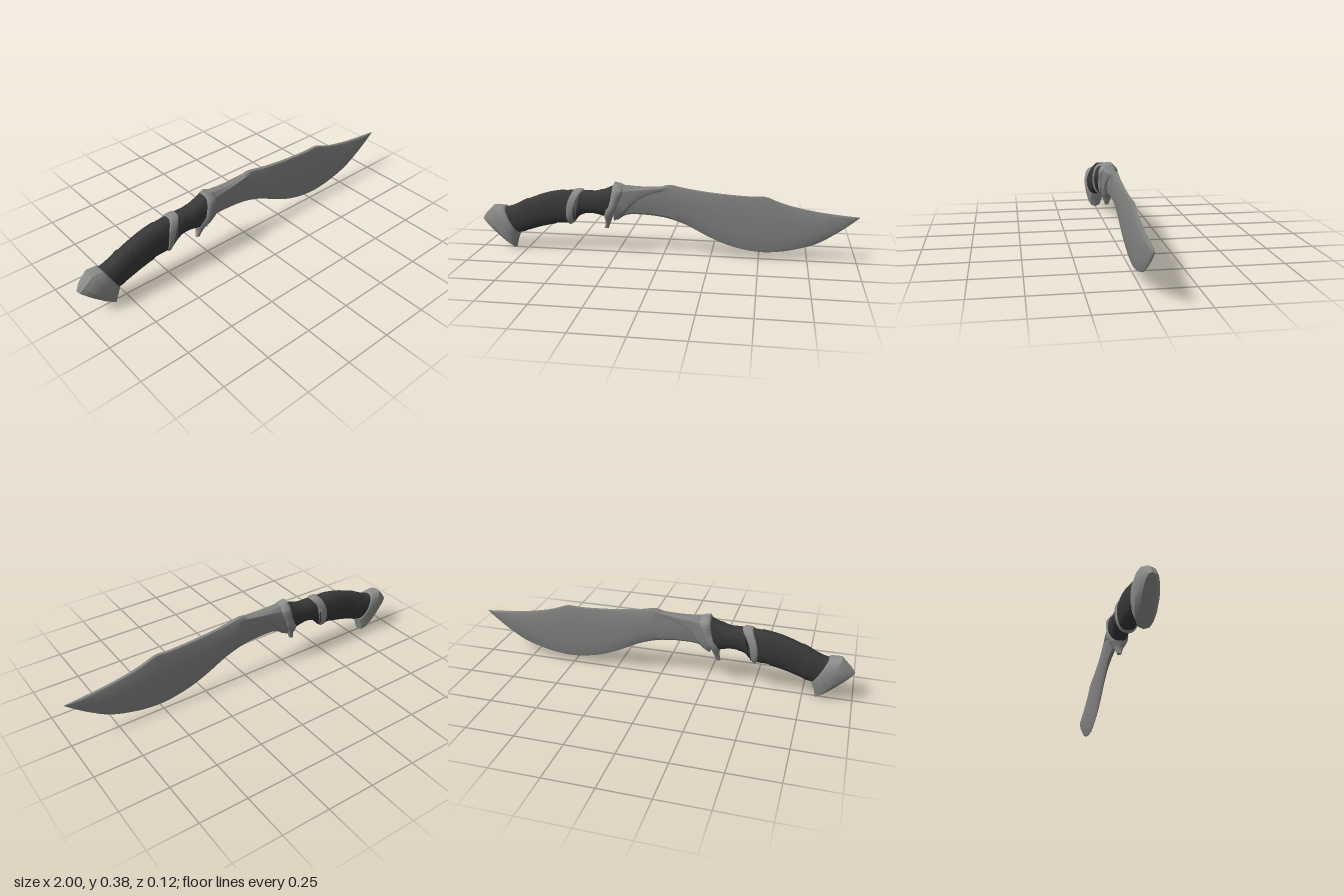
import * as THREE from 'three';
import { toCreasedNormals } from 'three/addons/utils/BufferGeometryUtils.js';

const blade = new THREE.MeshStandardMaterial({ name: 'bladeSteel', color: 0x838382 });
const fitting = new THREE.MeshStandardMaterial({ name: 'fittingSteel', color: 0x8c8c8a });
const leather = new THREE.MeshStandardMaterial({ name: 'darkLeather', color: 0x383838 });

// Rounded section: [height from 1 to -1, side from -1 to 1], running from the top round by +z
function roundSection(n, power = 0.7) {
  return Array.from({ length: n }, (_, i) => {
    const a = (i / n) * Math.PI * 2, s = Math.sin(a);
    return [Math.cos(a), Math.sign(s) * Math.abs(s) ** power];
  });
}

// Mirrors a half section (top to bottom on the +z side)
const mirrorSection = half => [...half, ...half.slice().reverse().map(([u, w]) => [u, -w])];

// Lofts a section through keys [topX, topY, bottomX, bottomY, halfWidth, bow]
function loft(name, material, keys, section, { steps = 4, crease = 0.5, turns = 0, relief = 0 } = {}) {
  const topCurve = new THREE.CatmullRomCurve3(keys.map(k => new THREE.Vector3(k[0], k[1], k[4])));
  const lowCurve = new THREE.CatmullRomCurve3(keys.map(k => new THREE.Vector3(k[2], k[3], k[5] || 0)));
  const rings = (keys.length - 1) * steps, n = section.length;
  const pos = [], index = [];
  for (let i = 0; i <= rings; i++) {
    const t = i / rings, a = topCurve.getPoint(t), b = lowCurve.getPoint(t);
    section.forEach(([u, w], j) => {
      // Overlapping wrap edges follow a spiral around the section
      const phase = turns * t - j / n + 4;
      const f = 1 + relief * ((phase % 1) - 0.5);
      const k = (1 - u * f) / 2;
      pos.push(a.x + (b.x - a.x) * k + b.z * (1 - u * u), a.y + (b.y - a.y) * k, w * a.z * f);
    });
  }
  for (let i = 0; i < rings; i++) {
    for (let j = 0; j < n; j++) {
      const p = i * n + j, q = i * n + (j + 1) % n;
      index.push(p, q, p + n, q, q + n, p + n);
    }
  }
  // End caps
  for (const [ring, flip] of [[0, true], [rings, false]]) {
    const c = pos.length / 3, m = [0, 0, 0];
    for (let j = 0; j < n; j++) for (let d = 0; d < 3; d++) m[d] += pos[(ring * n + j) * 3 + d] / n;
    pos.push(...m);
    for (let j = 0; j < n; j++) {
      const p = ring * n + j, q = ring * n + (j + 1) % n;
      index.push(c, flip ? q : p, flip ? p : q);
    }
  }
  const g = new THREE.BufferGeometry();
  g.setAttribute('position', new THREE.Float32BufferAttribute(pos, 3));
  g.setIndex(index);
  const mesh = new THREE.Mesh(toCreasedNormals(g, crease), material);
  mesh.name = name;
  return mesh;
}

export function createModel() {
  const group = new THREE.Group();
  group.name = 'curvedKnife';

  // Blade: flat spine, broad cheeks and a ground cutting edge
  const bladeSection = mirrorSection([[1, 0.6], [0.85, 0.9], [0.2, 1], [-0.4, 0.8], [-0.88, 0.4], [-1, 0.06]]);
  group.add(loft('blade', blade, [
    [-0.24, 0.365, -0.25, 0.18, 0.024],
    [-0.19, 0.368, -0.2, 0.212, 0.023],
    [-0.1, 0.365, -0.1, 0.217, 0.021],
    [-0.02, 0.369, -0.02, 0.21, 0.019],
    [0.025, 0.381, 0.025, 0.202, 0.018],
    [0.12, 0.365, 0.12, 0.17, 0.016],
    [0.225, 0.351, 0.225, 0.117, 0.015],
    [0.33, 0.342, 0.33, 0.073, 0.014],
    [0.44, 0.336, 0.44, 0.047, 0.014],
    [0.525, 0.337, 0.525, 0.04, 0.014],
    [0.58, 0.317, 0.58, 0.044, 0.014],
    [0.65, 0.295, 0.65, 0.055, 0.014],
    [0.785, 0.269, 0.785, 0.096, 0.013],
    [0.89, 0.257, 0.89, 0.16, 0.011],
    [0.95, 0.252, 0.95, 0.205, 0.008],
    [1, 0.25, 1, 0.247, 0.002],
  ], bladeSection, { crease: 0.35 }));

  // Thick shoulder that sweeps from the guard up into the spine
  const shoulderSection = mirrorSection([[1, 0.55], [0.7, 0.95], [0, 1], [-0.7, 0.85], [-1, 0.45]]);
  group.add(loft('bladeShoulder', blade, [
    [-0.25, 0.366, -0.265, 0.18, 0.04],
    [-0.21, 0.37, -0.225, 0.205, 0.037],
    [-0.16, 0.367, -0.17, 0.265, 0.033],
    [-0.09, 0.366, -0.1, 0.315, 0.028],
    [-0.02, 0.37, -0.02, 0.345, 0.022],
    [0.05, 0.376, 0.05, 0.36, 0.012],
  ], shoulderSection));

  // Guard, built upward from its lower finger spike
  group.add(loft('guard', fitting, [
    [-0.32, 0.135, -0.298, 0.135, 0.01],
    [-0.312, 0.17, -0.285, 0.17, 0.022],
    [-0.318, 0.21, -0.272, 0.205, 0.042],
    [-0.312, 0.245, -0.25, 0.235, 0.052],
    [-0.285, 0.29, -0.232, 0.285, 0.053],
    [-0.275, 0.35, -0.207, 0.345, 0.051],
    [-0.262, 0.387, -0.213, 0.373, 0.022],
  ], roundSection(16, 0.5), { steps: 3 }));

  // Front grip between guard and collar
  group.add(loft('frontGrip', leather, [
    [-0.44, 0.338, -0.475, 0.175, 0.049],
    [-0.41, 0.337, -0.445, 0.205, 0.049],
    [-0.36, 0.336, -0.39, 0.216, 0.049],
    [-0.31, 0.352, -0.34, 0.21, 0.05],
    [-0.265, 0.372, -0.3, 0.2, 0.05],
  ], roundSection(28), { steps: 6, turns: 1.5, relief: 0.05 }));

  // Collar bowed around the grip
  group.add(loft('collar', fitting, [
    [-0.485, 0.332, -0.51, 0.16, 0.048, -0.02],
    [-0.478, 0.342, -0.505, 0.15, 0.055, -0.02],
    [-0.458, 0.345, -0.49, 0.155, 0.056, -0.02],
    [-0.435, 0.344, -0.476, 0.178, 0.055, -0.02],
    [-0.428, 0.335, -0.468, 0.195, 0.047, -0.02],
  ], roundSection(24), { steps: 2 }));

  // Main grip with spiral wrap
  group.add(loft('mainGrip', leather, [
    [-0.89, 0.225, -0.8, 0.09, 0.051],
    [-0.83, 0.238, -0.75, 0.102, 0.051],
    [-0.74, 0.28, -0.66, 0.132, 0.051],
    [-0.63, 0.318, -0.575, 0.153, 0.051],
    [-0.53, 0.334, -0.52, 0.158, 0.051],
    [-0.46, 0.338, -0.48, 0.165, 0.05],
  ], roundSection(32), { steps: 8, turns: 2.5, relief: 0.05 }));

  // Faceted pommel
  group.add(loft('pommel', fitting, [
    [-0.998, 0.165, -0.838, 0.014, 0.03],
    [-0.978, 0.195, -0.815, 0.003, 0.05],
    [-0.93, 0.24, -0.808, 0.04, 0.061],
    [-0.875, 0.238, -0.792, 0.08, 0.056],
    [-0.86, 0.225, -0.79, 0.095, 0.045],
  ], roundSection(16), { steps: 1, crease: 0.45 }));

  return group;
}
